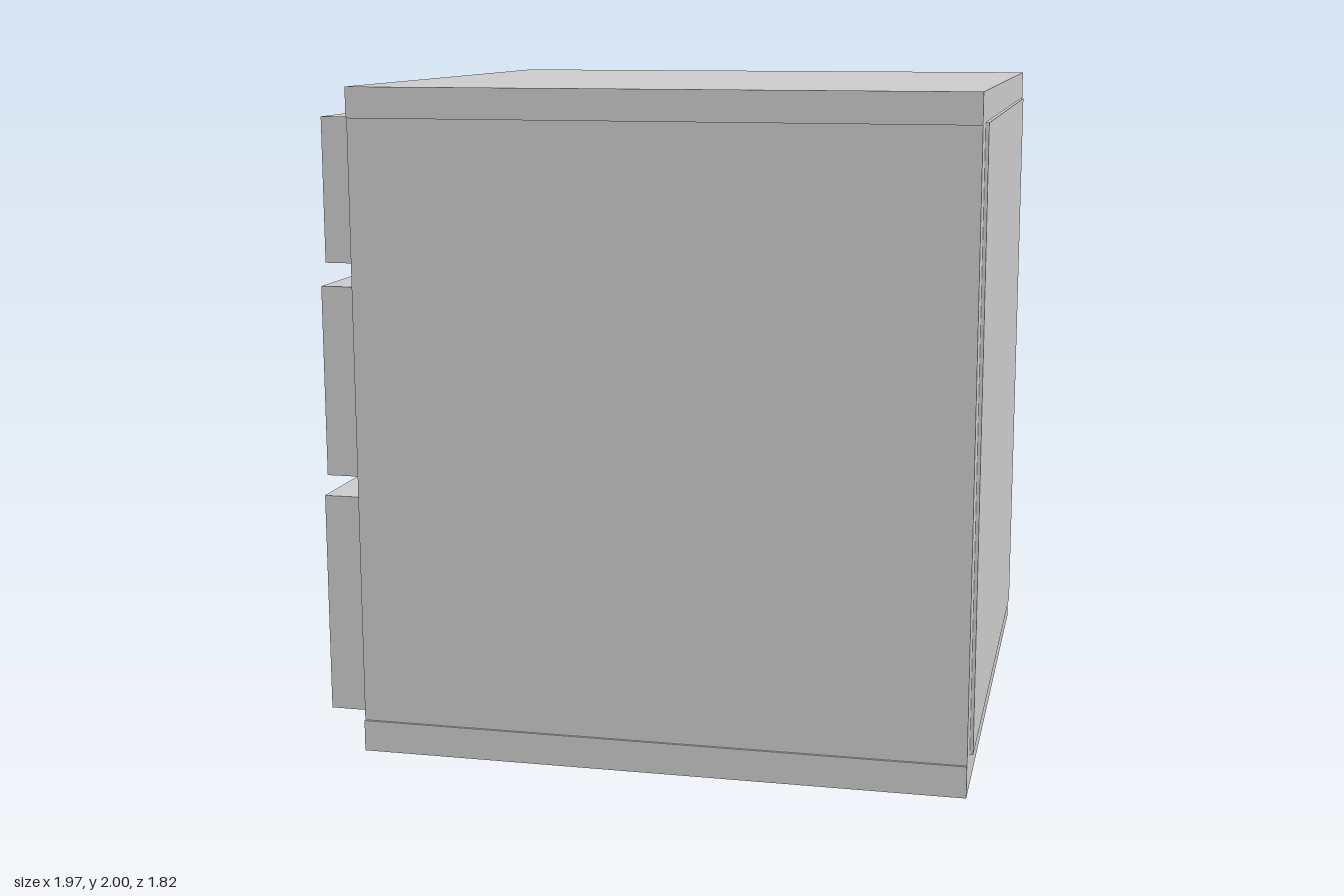
import * as THREE from 'three';

const grey = new THREE.MeshStandardMaterial({ color: 0xcccccc, flatShading: true });

// Box given by its extents along each axis
function slab(parent, name, [x0, x1], [y0, y1], [z0, z1]) {
  const mesh = new THREE.Mesh(new THREE.BoxGeometry(x1 - x0, y1 - y0, z1 - z0), grey);
  mesh.position.set((x0 + x1) / 2, (y0 + y1) / 2, (z0 + z1) / 2);
  mesh.name = name;
  parent.add(mesh);
}

// Drawer: thick overlay front with an open-topped tray behind it
function drawer(name, front, fy, fz, trayY) {
  const g = new THREE.Group();
  g.name = name;
  slab(g, 'drawerFront', front, fy, fz);
  const x0 = front[1], x1 = x0 + 1.74, t = 0.04, w = 0.815;
  slab(g, 'trayFloor', [x0, x1], [trayY[0], trayY[0] + t], [-w, w]);
  slab(g, 'trayBack', [x1 - t, x1], trayY, [-w, w]);
  for (const s of [-1, 1]) {
    const a = s * w, b = s * (w - t);
    slab(g, 'traySide', [x0, x1], trayY, [Math.min(a, b), Math.max(a, b)]);
  }
  return g;
}

export function createModel() {
  const model = new THREE.Group();
  model.name = 'drawerCabinet';

  // Carcass, open towards -x
  const depth = [-0.85, 0.97];
  slab(model, 'topPanel', depth, [1.91, 2], [-0.912, 0.912]);
  slab(model, 'bottomPanel', depth, [0, 0.095], [-0.912, 0.912]);
  slab(model, 'sidePanelBack', depth, [0.095, 1.91], [-0.905, -0.82]);
  slab(model, 'sidePanelFront', depth, [0.095, 1.91], [0.82, 0.905]);

  // Rear cover, leaving a narrow slit along one edge
  slab(model, 'rearPanel', [0.93, 0.98], [0.097, 1.913], [-0.803, 0.818]);

  // Rail between the lower drawers
  slab(model, 'dividerRail', [-0.88, -0.8], [0.77, 0.9], [-0.8, 0.8]);

  // Three drawers, each slightly deeper out than the one above
  model.add(
    drawer('topDrawer', [-0.96, -0.85], [1.48, 1.91], [-0.845, 0.83], [1.53, 1.88]),
    drawer('middleDrawer', [-0.975, -0.85], [0.835, 1.41], [-0.838, 0.833], [0.9, 1.39]),
    drawer('bottomDrawer', [-0.985, -0.857], [0.1, 0.772], [-0.835, 0.835], [0.245, 0.72])
  );
  return model;
}
